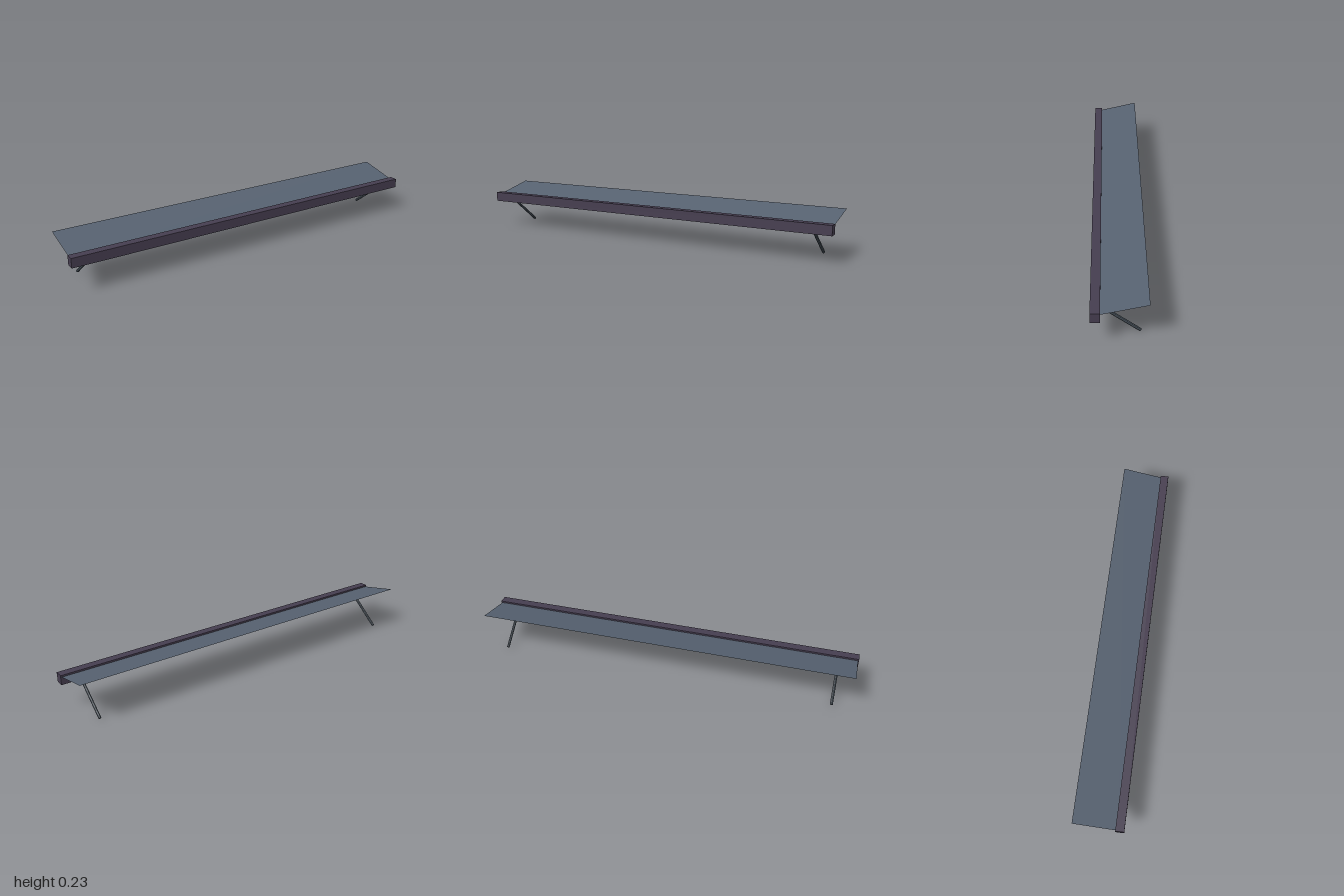
import * as THREE from 'three';

const beamMaterial = new THREE.MeshStandardMaterial({ color: 0x453d4f });
beamMaterial.name = 'dark plum';
const slateMaterial = new THREE.MeshStandardMaterial({ color: 0x566170, side: THREE.DoubleSide });
slateMaterial.name = 'slate';
const legMaterial = new THREE.MeshStandardMaterial({ color: 0x4f5a64, flatShading: true });
legMaterial.name = 'dark slate';

// Cylinder running from point a to point b
function rod(a, b, radius, sides, material) {
  const dir = b.clone().sub(a);
  const mesh = new THREE.Mesh(new THREE.CylinderGeometry(radius, radius, dir.length(), sides), material);
  mesh.position.copy(a).add(b).multiplyScalar(0.5);
  mesh.quaternion.setFromUnitVectors(new THREE.Vector3(0, 1, 0), dir.normalize());
  return mesh;
}

export function createModel() {
  const model = new THREE.Group();
  model.name = 'awning';

  // Front beam
  const beam = new THREE.Mesh(new THREE.BoxGeometry(2, 0.05, 0.044), beamMaterial);
  beam.name = 'frontBeam';
  beam.position.set(0, 0.162, 0.105);
  model.add(beam);

  // Thin canopy sheet, rising from the beam towards the back
  const front = { y: 0.174, z: 0.1 };
  const back = { y: 0.226, z: -0.127 };
  const dy = back.y - front.y, dz = front.z - back.z;
  const sheet = new THREE.Mesh(new THREE.PlaneGeometry(1.99, Math.hypot(dy, dz)), slateMaterial);
  sheet.name = 'canopySheet';
  sheet.rotation.x = -Math.PI / 2 + Math.atan2(dy, dz);
  sheet.position.set(0, (front.y + back.y) / 2, (front.z + back.z) / 2);
  model.add(sheet);

  // Slanted support arms, one near each end
  for (const [side, name] of [[1, 'leftArm'], [-1, 'rightArm']]) {
    const arm = rod(
      new THREE.Vector3(side * 0.9, 0.006, -0.093),
      new THREE.Vector3(side * 0.9, 0.162, 0.105),
      0.0075, 8, legMaterial);
    arm.name = name;
    model.add(arm);
  }
  return model;
}
